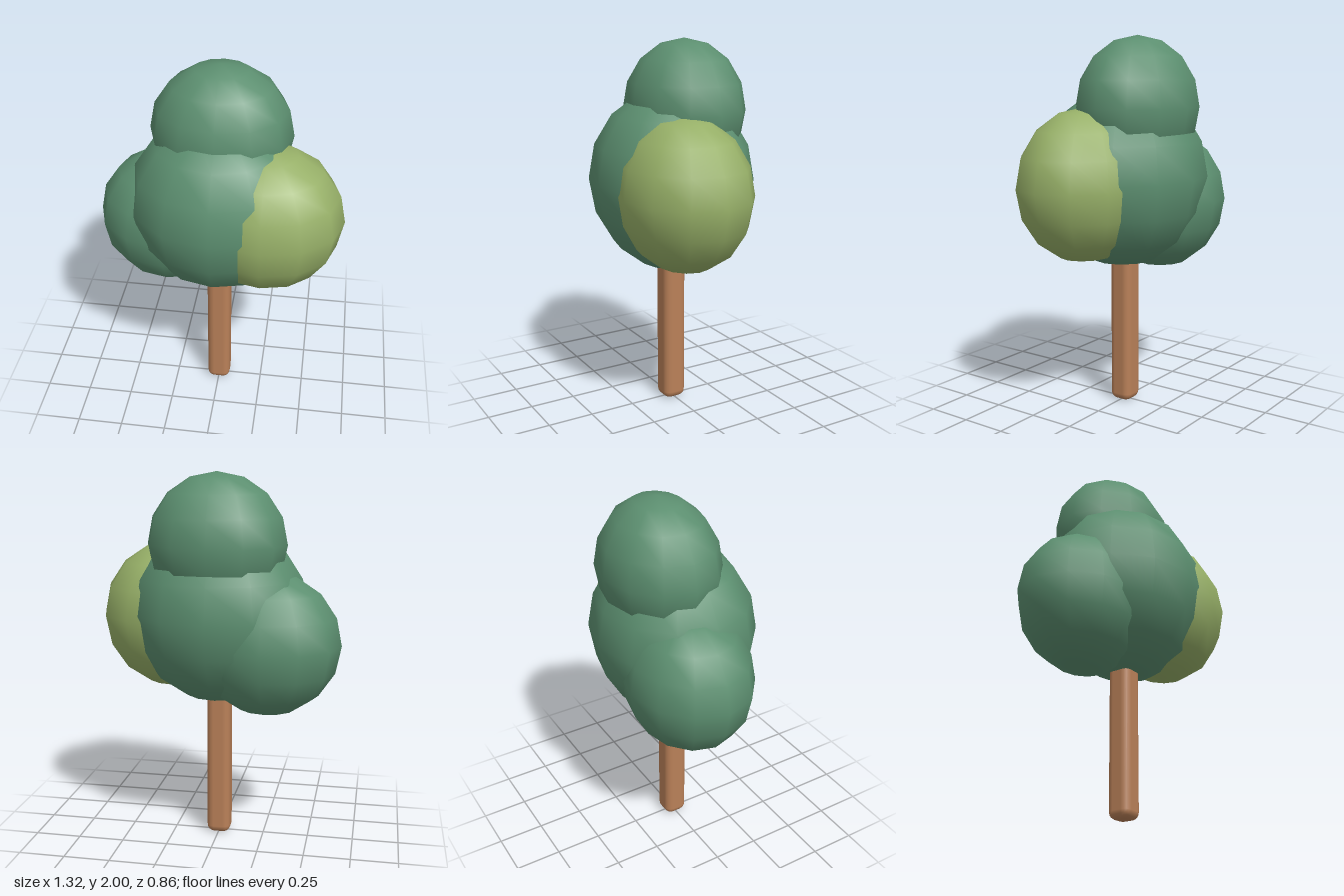
import * as THREE from 'three';
import { RoundedBoxGeometry } from 'three/addons/geometries/RoundedBoxGeometry.js';

const green = new THREE.MeshStandardMaterial({ color: 0x5c8f70 });
const lime = new THREE.MeshStandardMaterial({ color: 0x97b068 });
const bark = new THREE.MeshStandardMaterial({ color: 0xb98058 });

// Low-poly ellipsoid of leaves: position and radii along each axis
function foliage(name, material, position, radii) {
  const geometry = new THREE.SphereGeometry(1, 12, 8);
  geometry.scale(...radii);
  const mesh = new THREE.Mesh(geometry, material);
  mesh.name = name;
  mesh.position.set(...position);
  return mesh;
}

export function createModel() {
  const tree = new THREE.Group();
  tree.name = 'tree';

  // Square trunk with rounded edges, ending inside the crown
  const height = 1.1;
  const trunk = new THREE.Mesh(new RoundedBoxGeometry(0.13, height, 0.13, 2, 0.04), bark);
  trunk.name = 'trunk';
  trunk.position.y = height / 2;
  tree.add(trunk);

  // Overlapping crown
  tree.add(
    foliage('mainFoliage', green, [0, 1.26, 0], [0.48, 0.49, 0.43]),
    foliage('topFoliage', green, [0, 1.63, -0.08], [0.37, 0.37, 0.31]),
    foliage('rightFoliage', green, [-0.27, 1.11, -0.07], [0.39, 0.385, 0.33]),
    foliage('leftFoliage', lime, [0.25, 1.23, 0.07], [0.41, 0.405, 0.345]),
  );
  return tree;
}
